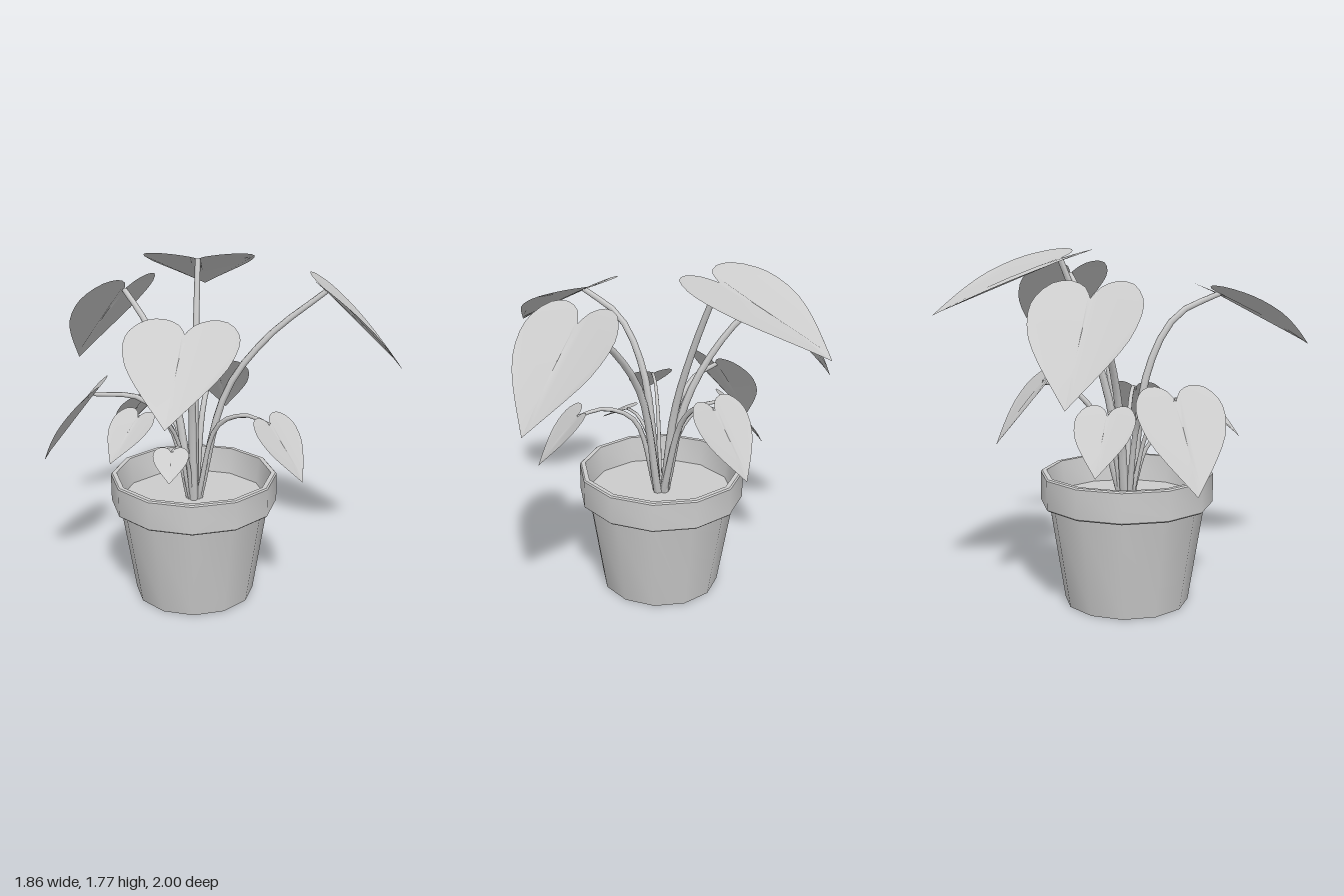
import * as THREE from 'three';
import { toCreasedNormals } from 'three/addons/utils/BufferGeometryUtils.js';

const CENTER = new THREE.Vector3(-0.143, 0.53, -0.038);
const V = (a) => new THREE.Vector3(...a);

// Each plant shoot: stem end, leaf tip, stem radius, and two [fraction outward, height] bends
const SHOOTS = [
  { end: [-0.12, 1.73, -0.38], tip: [-0.09, 1.48, -1.0], r: 0.022, bends: [[0.25, 1.0], [0.58, 1.37]] },
  { end: [-0.165, 1.545, 0.48], tip: [-0.236, 1.27, 0.995], r: 0.022, bends: [[0.23, 1.18], [0.53, 1.44]] },
  { end: [0.52, 1.63, -0.045], tip: [0.926, 1.22, -0.055], r: 0.022, bends: [[0.26, 1.12], [0.57, 1.4]] },
  { end: [-0.51, 1.565, -0.405], tip: [-0.8, 1.125, -0.66], r: 0.022, bends: [[0.27, 1.06], [0.67, 1.41]] },
  { end: [-0.65, 1.1, -0.045], tip: [-0.93, 0.72, -0.09], r: 0.018, bends: [[0.24, 0.93], [0.54, 1.08]] },
  { end: [-0.02, 1.13, -0.44], tip: [0.03, 0.83, -0.665], r: 0.018, bends: [[0.4, 0.98], [0.72, 1.11]] },
  { end: [0.24, 1.02, 0.21], tip: [0.395, 0.77, 0.345], r: 0.015, bends: [[0.33, 0.96], [0.71, 1.045]] },
  { end: [-0.41, 1.06, 0.21], tip: [-0.534, 0.88, 0.375], r: 0.013, bends: [[0.35, 0.92], [0.7, 1.05]] },
  { end: [-0.245, 0.895, 0.26], tip: [-0.25, 0.8, 0.435], r: 0.012, bends: [[0.35, 0.8], [0.7, 0.89]] },
  { end: [-0.4, 1.01, -0.27], tip: [-0.56, 0.757, -0.41], r: 0.015, bends: [[0.35, 0.9], [0.7, 1.01]] },
];

// Half outline of a heart leaf of unit length: notch at the origin, tip at y = 1
const OUTLINE = [[0, 0], [0.06, -0.11], [0.18, -0.17], [0.32, -0.13], [0.42, 0.02],
  [0.44, 0.19], [0.385, 0.42], [0.26, 0.64], [0.11, 0.85], [0, 1]];

function leafHalf(side) {
  const edge = new THREE.SplineCurve(OUTLINE.map(([x, y]) => new THREE.Vector2(x, y))).getPoints(18);
  const rib = [0.8, 0.6, 0.4, 0.2].map((y) => new THREE.Vector2(0, y));
  const pts = [...edge, ...rib].map((p) => new THREE.Vector2(p.x * side, p.y));
  const geo = new THREE.ShapeGeometry(new THREE.Shape(pts));
  // Fold upward from the midrib, with a slight bow along the length
  const pos = geo.attributes.position;
  for (let i = 0; i < pos.count; i++) {
    const x = pos.getX(i), y = pos.getY(i);
    pos.setZ(i, 0.1 * Math.abs(x) + 0.1 * y * (1 - y));
  }
  geo.computeVertexNormals();
  return geo;
}

function makeStem({ end, r, bends }, material) {
  const e = V(end);
  const out = e.clone().sub(CENTER).setY(0);
  const at = (f, y) => CENTER.clone().addScaledVector(out, f).setY(y);
  const base = CENTER.clone().addScaledVector(out.clone().normalize(), 0.025);
  const path = new THREE.CatmullRomCurve3([base, ...bends.map(([f, y]) => at(f, y)), e]);
  const rings = 12, sides = 6;
  const geo = new THREE.TubeGeometry(path, rings, r, sides);
  // Taper toward the leaf
  const pos = geo.attributes.position, p = new THREE.Vector3();
  for (let i = 0; i <= rings; i++) {
    const c = path.getPointAt(i / rings);
    for (let j = 0; j <= sides; j++) {
      const k = i * (sides + 1) + j;
      p.fromBufferAttribute(pos, k).sub(c).multiplyScalar(1.05 - 0.4 * i / rings).add(c);
      pos.setXYZ(k, p.x, p.y, p.z);
    }
  }
  const stem = new THREE.Mesh(geo, material);
  stem.name = 'stem';
  return stem;
}

function makeLeaf({ end, tip }, halves, material) {
  const dir = V(tip).sub(V(end));
  const length = dir.length();
  dir.normalize();
  const across = new THREE.Vector3().crossVectors(dir, new THREE.Vector3(0, 1, 0)).normalize();
  const normal = new THREE.Vector3().crossVectors(across, dir);
  const leaf = new THREE.Group();
  leaf.name = 'leaf';
  halves.forEach((geo) => {
    const half = new THREE.Mesh(geo, material);
    half.name = 'leafHalf';
    leaf.add(half);
  });
  leaf.quaternion.setFromRotationMatrix(new THREE.Matrix4().makeBasis(across, dir, normal));
  leaf.position.set(...end);
  leaf.scale.setScalar(length);
  return leaf;
}

export function createModel() {
  const model = new THREE.Group();
  model.name = 'pottedPlant';
  const material = new THREE.MeshStandardMaterial({ color: 0xcccccc });
  const leafMaterial = new THREE.MeshStandardMaterial({ color: 0xcccccc, side: THREE.DoubleSide });

  // Twelve-sided pot with recessed base, thick rim and inner wall
  const profile = [[0, 0.02], [0.285, 0.02], [0.29, 0], [0.315, 0], [0.395, 0.51], [0.428, 0.51],
    [0.435, 0.517], [0.435, 0.663], [0.428, 0.67], [0.405, 0.67], [0.385, 0.52]];
  const potGeo = new THREE.LatheGeometry(profile.map(([x, y]) => new THREE.Vector2(x, y)), 12);
  const pot = new THREE.Mesh(toCreasedNormals(potGeo, 0.6), material);
  pot.name = 'pot';
  pot.position.set(CENTER.x, 0, CENTER.z);
  model.add(pot);

  // Soil
  const soil = new THREE.Mesh(new THREE.CircleGeometry(0.388, 12).rotateX(-Math.PI / 2), material);
  soil.name = 'soil';
  soil.position.copy(CENTER);
  model.add(soil);

  // Stems with their leaves
  const halves = [leafHalf(1), leafHalf(-1)];
  for (const s of SHOOTS) {
    const shoot = new THREE.Group();
    shoot.name = 'shoot';
    shoot.add(makeStem(s, material), makeLeaf(s, halves, leafMaterial));
    model.add(shoot);
  }
  return model;
}
